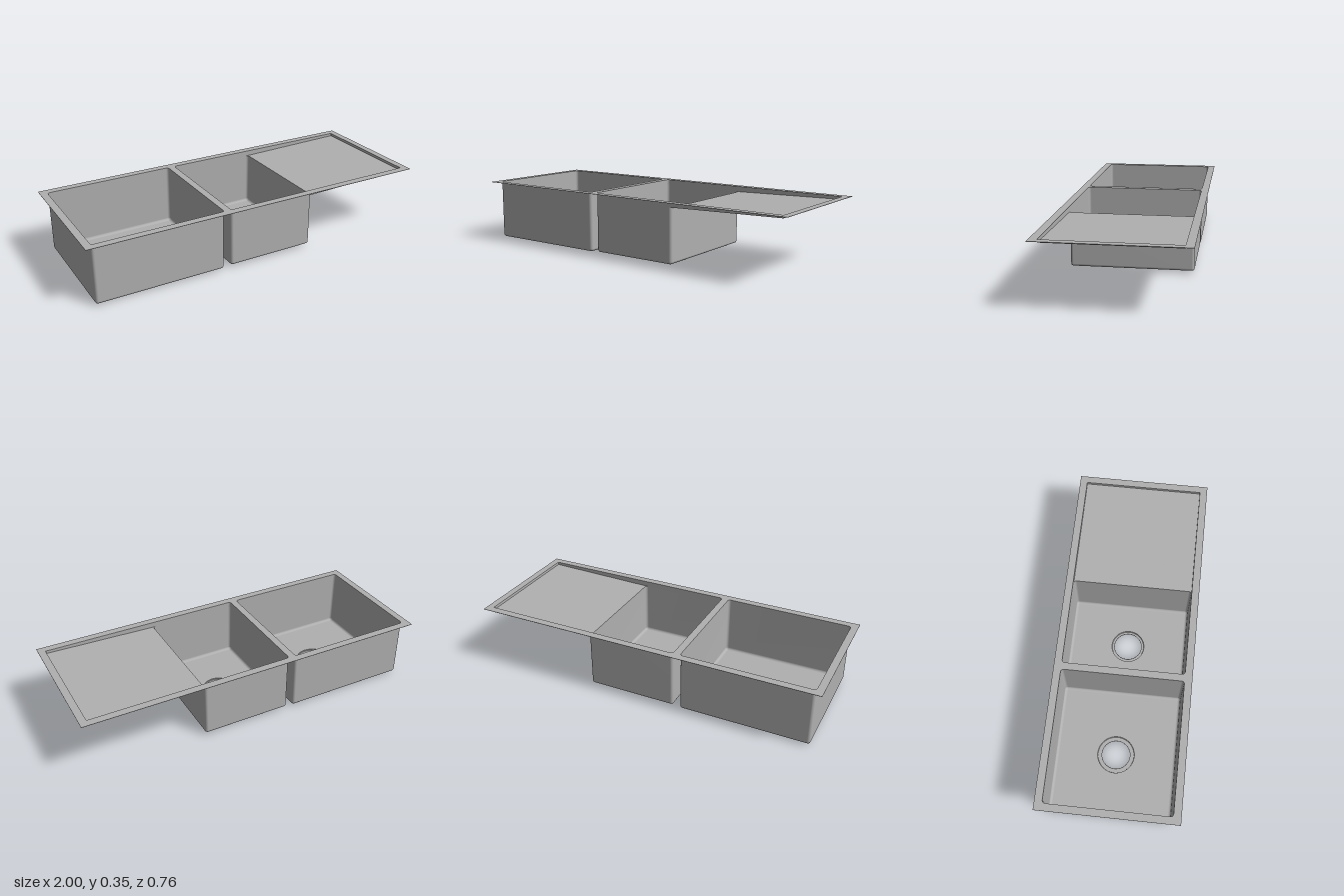
import * as THREE from 'three';
import { toCreasedNormals } from 'three/addons/utils/BufferGeometryUtils.js';

const TOP = 0.35, HZ = 0.34, R = 0.016, FILLET = 0.015;
const BIG = { x0: -0.96, x1: -0.23, floor: 0.009, drainX: -0.6, ringR: 0.105 };
const SMALL = { x0: -0.19, x1: 0.32, floor: 0.014, drainX: 0.062, ringR: 0.096 };
const DRAINER_END = 0.96, DRAINER_LOW = 0.319, DRAINER_HIGH = 0.334;

const steel = new THREE.MeshStandardMaterial({ color: 0xb0b0b0, side: THREE.DoubleSide });
steel.name = 'steel';

// height of the sloping drainer at x
const slope = (x) => DRAINER_LOW + (DRAINER_HIGH - DRAINER_LOW) *
  THREE.MathUtils.clamp((x - SMALL.x1) / (DRAINER_END - SMALL.x1), 0, 1);

// rounded rectangle in x/z, with an optional extra point on both long sides
function outline(x0, x1, hz, rLeft, rRight = rLeft, midX = null) {
  const pts = [];
  const corners = [[x1 - rRight, hz - rRight, rRight], [x0 + rLeft, hz - rLeft, rLeft],
    [x0 + rLeft, rLeft - hz, rLeft], [x1 - rRight, rRight - hz, rRight]];
  corners.forEach(([cx, cz, r], k) => {
    for (let i = 0; i <= 5; i++) {
      const a = (k + i / 5) * Math.PI / 2;
      pts.push(new THREE.Vector2(cx + r * Math.cos(a), cz + r * Math.sin(a)));
    }
    if (midX !== null && k % 2 === 0) pts.push(new THREE.Vector2(midX, k === 0 ? hz : -hz));
  });
  return pts;
}

// skin joining closed loops of [x, y, z]
function loft(loops) {
  const n = loops[0].length, index = [];
  for (let j = 0; j < loops.length - 1; j++) {
    for (let i = 0; i < n; i++) {
      const a = j * n + i, b = j * n + (i + 1) % n;
      index.push(a, b, a + n, b, b + n, a + n);
    }
  }
  const g = new THREE.BufferGeometry();
  g.setAttribute('position', new THREE.Float32BufferAttribute(loops.flat(2), 3));
  g.setIndex(index);
  g.computeVertexNormals();
  return g;
}

function add(parent, name, geometry) {
  const mesh = new THREE.Mesh(geometry, steel);
  mesh.name = name;
  parent.add(mesh);
  return mesh;
}

function circleHole(x, r) {
  return new THREE.Path().absarc(x, 0, r, 0, Math.PI * 2, true);
}

function makeBowl(name, b, top) {
  const bowl = new THREE.Group();
  bowl.name = name;
  const ring = (inset, y) => outline(b.x0 + inset, b.x1 - inset, HZ - inset, R - inset)
    .map((p) => [p.x, y, p.y]);

  // walls with a rounded bottom edge
  const loops = [ring(0, top)];
  for (let i = 0; i <= 5; i++) {
    const a = i / 5 * Math.PI / 2;
    loops.push(ring(FILLET * (1 - Math.cos(a)), b.floor + FILLET * (1 - Math.sin(a))));
  }
  add(bowl, 'bowlWalls', loft(loops));

  // floor with the drain opening
  const shape = new THREE.Shape(outline(b.x0 + FILLET, b.x1 - FILLET, HZ - FILLET, R - FILLET));
  shape.holes.push(circleHole(b.drainX, b.ringR));
  add(bowl, 'bowlFloor', new THREE.ShapeGeometry(shape, 24).rotateX(Math.PI / 2).translate(0, b.floor, 0));

  // stepped drain seat
  const low = b.floor - 0.009;
  const profile = [[0.08, low + 0.004], [0.08, low], [b.ringR - 0.002, low], [b.ringR, low + 0.002], [b.ringR, b.floor]]
    .map(([x, y]) => new THREE.Vector2(x, y));
  add(bowl, 'drainSeat', toCreasedNormals(new THREE.LatheGeometry(profile, 48), 0.6))
    .position.x = b.drainX;
  return bowl;
}

export function createModel() {
  const sink = new THREE.Group();
  sink.name = 'sink';

  // flat rim with openings for the large bowl and for the small bowl plus drainer
  const rim = new THREE.Shape(outline(-1, 1, 0.382, 0.001));
  rim.holes.push(new THREE.Path(outline(BIG.x0, BIG.x1, HZ, R).reverse()));
  rim.holes.push(new THREE.Path(outline(SMALL.x0, DRAINER_END, HZ, R, 0.003).reverse()));
  add(sink, 'rim', new THREE.ExtrudeGeometry(rim, { depth: 0.002, bevelEnabled: false })
    .rotateX(Math.PI / 2).translate(0, TOP, 0));

  sink.add(makeBowl('largeBowl', BIG, TOP - 0.001));
  sink.add(makeBowl('smallBowl', SMALL, DRAINER_LOW));

  // upper wall shared by the small bowl and the drainer
  const collar = outline(SMALL.x0, DRAINER_END, HZ, R, 0.003, SMALL.x1);
  add(sink, 'drainerWall', loft([
    collar.map((p) => [p.x, TOP - 0.001, p.y]),
    collar.map((p) => [p.x, slope(p.x), p.y]),
  ]));

  // sloping drainer, its inner edge following the bowl corners
  const tray = new THREE.Shape();
  const x = SMALL.x1;
  tray.moveTo(DRAINER_END, -HZ);
  tray.lineTo(DRAINER_END, HZ);
  tray.lineTo(x - R, HZ);
  tray.absarc(x - R, HZ - R, R, Math.PI / 2, 0, true);
  tray.lineTo(x, R - HZ);
  tray.absarc(x - R, R - HZ, R, 0, -Math.PI / 2, true);
  const drainer = new THREE.ShapeGeometry(tray, 5).rotateX(Math.PI / 2);
  const pos = drainer.attributes.position;
  for (let i = 0; i < pos.count; i++) pos.setY(i, slope(pos.getX(i)));
  drainer.computeVertexNormals();
  add(sink, 'drainer', drainer);

  return sink;
}
